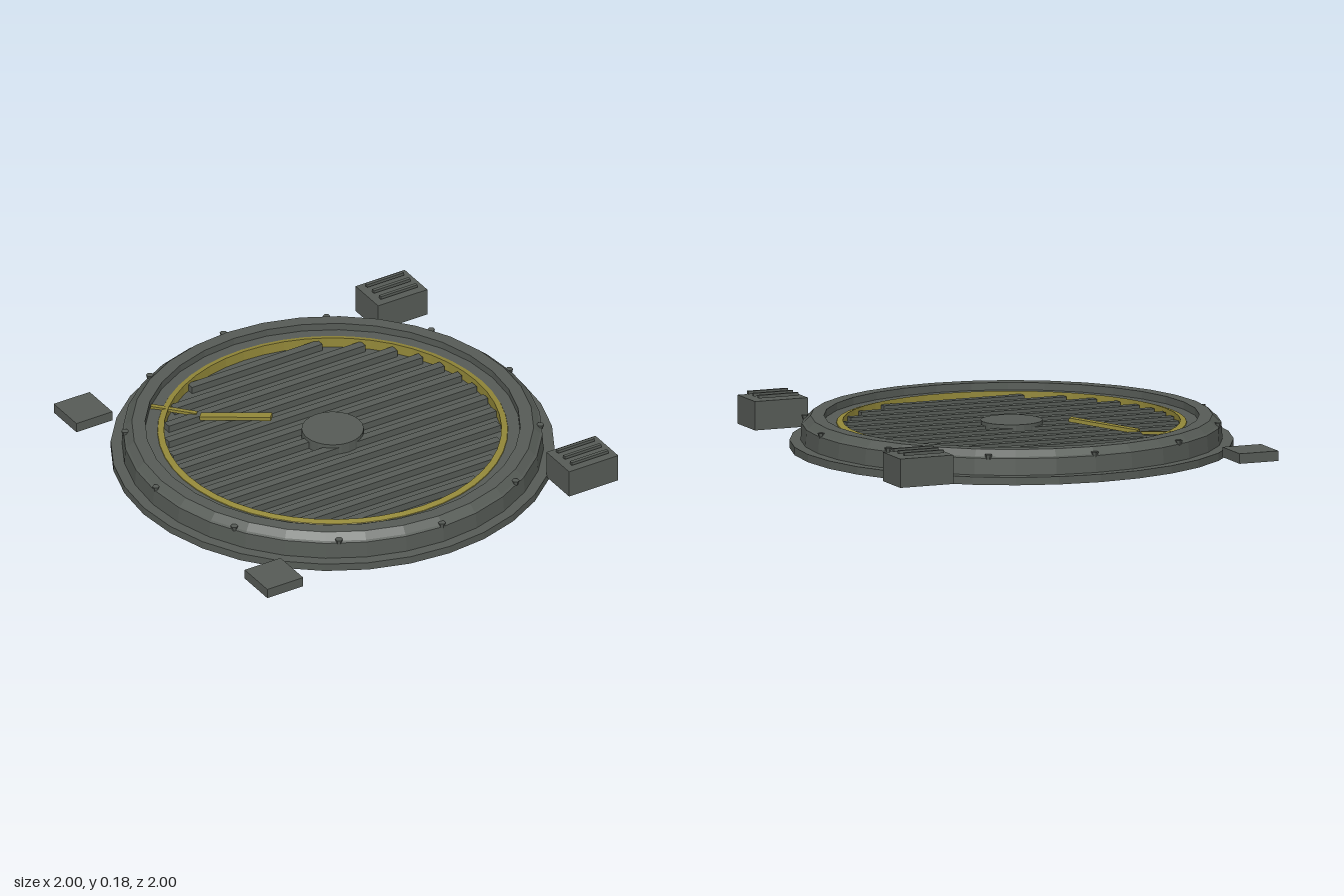
import * as THREE from 'three';

export function createModel() {
  const model = new THREE.Group();
  const metal = new THREE.MeshStandardMaterial({ color: 0x565b56, flatShading: true });
  metal.name = 'dark grey metal';
  const yellow = new THREE.MeshStandardMaterial({ color: 0x938839, flatShading: true });
  yellow.name = 'marking yellow';

  const add = (name, geometry, material, x = 0, y = 0, z = 0, parent = model) => {
    const mesh = new THREE.Mesh(geometry, material);
    mesh.name = name;
    mesh.position.set(x, y, z);
    parent.add(mesh);
    return mesh;
  };
  const lathe = (points, sides) =>
    new THREE.LatheGeometry(points.map(([r, y]) => new THREE.Vector2(r, y)), sides);

  // Foundation plate
  add('basePlate', new THREE.CylinderGeometry(1, 1, 0.036, 32), metal, 0, 0.018, 0);

  // Raised rim with bevelled shoulder, inner ledge and recessed deck
  add('rim', lathe([
    [0.95, 0.036], [0.945, 0.112], [0.935, 0.118], [0.905, 0.147],
    [0.845, 0.147], [0.845, 0.113], [0.775, 0.113], [0.775, 0.075], [0, 0.075],
  ], 32), metal);

  // Painted boundary ring, sloping slightly outwards
  add('markingRing', lathe([
    [0.79, 0.112], [0.788, 0.116], [0.76, 0.123], [0.76, 0.075],
  ], 48), yellow);

  // Deck slats, trimmed to the circle
  const slats = new THREE.Group();
  slats.name = 'deckSlats';
  model.add(slats);
  for (let i = -6; i <= 6; i++) {
    const z = i * 0.111;
    const length = 2 * Math.sqrt(0.75 * 0.75 - z * z);
    add('slat', new THREE.BoxGeometry(length, 0.036, 0.04), metal, 0, 0.09, z, slats);
  }
  add('centreHub', new THREE.CylinderGeometry(0.14, 0.14, 0.05, 24), metal, 0, 0.1, 0);

  // Bolts around the shoulder
  const bolts = new THREE.Group();
  bolts.name = 'rimBolts';
  model.add(bolts);
  for (let i = 0; i < 12; i++) {
    const a = (i * Math.PI) / 6;
    add('bolt', new THREE.CylinderGeometry(0.017, 0.012, 0.022, 6), metal,
      Math.sin(a) * 0.935, 0.118, Math.cos(a) * 0.935, bolts);
  }

  // Diagonal pointer: broad inner blade and thin outer tip
  const bar = (name, from, to, width, height) => {
    const a = new THREE.Vector3(...from), b = new THREE.Vector3(...to);
    const mesh = add(name, new THREE.BoxGeometry(width, height, a.distanceTo(b)), yellow);
    mesh.position.copy(a).add(b).multiplyScalar(0.5);
    mesh.lookAt(b);
  };
  bar('pointerBlade', [-0.44, 0.108, -0.42], [-0.2, 0.145, -0.2], 0.04, 0.018);
  bar('pointerTip', [-0.595, 0.119, -0.595], [-0.44, 0.106, -0.45], 0.022, 0.014);

  // Corner units, mirrored front to back
  for (const side of [1, -1]) {
    const end = side > 0 ? 'front' : 'back';
    const z = side * 0.817;
    add(end + 'LowBox', new THREE.BoxGeometry(0.19, 0.046, 0.194), metal, -0.816, 0.042, z);
    const unit = new THREE.Group();
    unit.name = end + 'VentUnit';
    unit.position.set(0.816, 0, z);
    model.add(unit);
    add('ventBox', new THREE.BoxGeometry(0.26, 0.132, 0.194), metal, 0, 0.092, 0, unit);
    for (const dz of [-0.059, 0, 0.059])
      add('ventBar', new THREE.BoxGeometry(0.194, 0.014, 0.016), metal, 0, 0.172, dz, unit);
  }
  return model;
}
